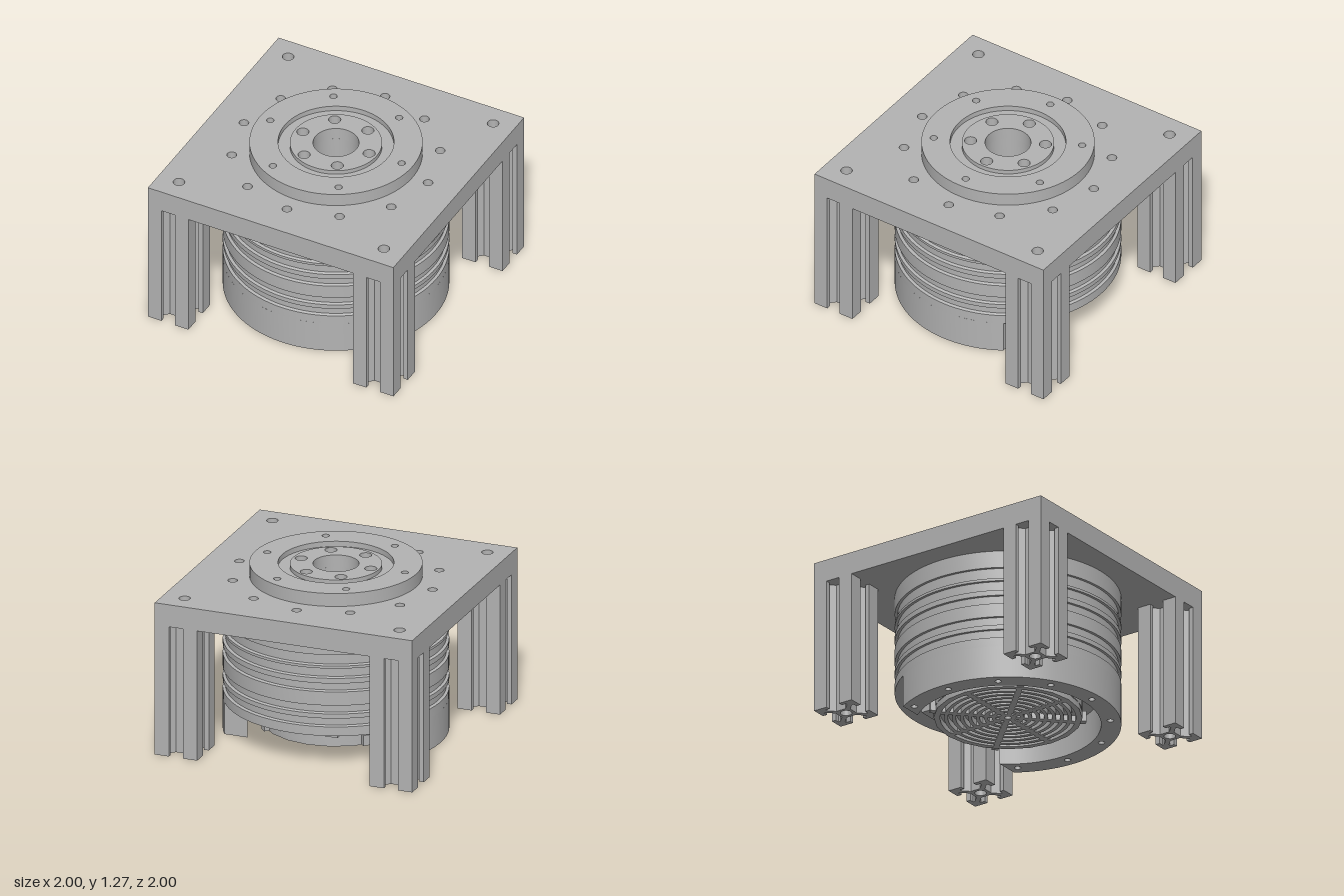
import * as THREE from 'three';
import { toCreasedNormals } from 'three/addons/utils/BufferGeometryUtils.js';

const metal = new THREE.MeshStandardMaterial({ name: 'machined grey', color: 0xb3b3b3 });

function addMesh(parent, name, geometry) {
  const mesh = new THREE.Mesh(toCreasedNormals(geometry, 0.5), metal);
  mesh.name = name;
  parent.add(mesh);
  return mesh;
}

// Extrudes a plan shape (shape y = -z) upwards between two heights
function slab(shape, y0, y1, curveSegments = 32) {
  const g = new THREE.ExtrudeGeometry(shape, { depth: y1 - y0, bevelEnabled: false, curveSegments });
  return g.rotateX(-Math.PI / 2).translate(0, y0, 0);
}

function disc(r) {
  return new THREE.Shape().absarc(0, 0, r, 0, Math.PI * 2, false);
}

function hole(shape, x, y, r) {
  shape.holes.push(new THREE.Path().absarc(x, y, r, 0, Math.PI * 2, true));
}

// Evenly spaced holes on a bolt circle, limited to those below maxY
function boltHoles(shape, count, radius, r, maxY = Infinity) {
  for (let i = 0; i < count; i++) {
    const a = (i / count) * Math.PI * 2;
    const x = radius * Math.cos(a), y = radius * Math.sin(a);
    if (y < maxY) hole(shape, x, y, r);
  }
}

// Slotted aluminium profile, one side repeated four times
function legShape() {
  const side = [
    [0.165, -0.165], [0.165, -0.055], [0.13, -0.055], [0.13, -0.09], [0.115, -0.09], [0.065, -0.04],
    [0.065, 0.04], [0.115, 0.09], [0.13, 0.09], [0.13, 0.055], [0.165, 0.055],
  ];
  const points = [];
  for (let k = 0; k < 4; k++) {
    for (const [x, y] of side) {
      points.push(new THREE.Vector2(x, y).rotateAround(new THREE.Vector2(), (k * Math.PI) / 2));
    }
  }
  const shape = new THREE.Shape(points);
  hole(shape, 0, 0, 0.042);
  return shape;
}

export function createModel() {
  const model = new THREE.Group();
  model.name = 'rotaryTable';

  // Square top plate
  const plate = new THREE.Shape([[-1, -1], [1, -1], [1, 1], [-1, 1]].map(p => new THREE.Vector2(...p)));
  for (const x of [-0.835, 0.835]) for (const y of [-0.835, 0.835]) hole(plate, x, y, 0.042);
  boltHoles(plate, 12, 0.75, 0.035);
  hole(plate, 0, 0, 0.165);
  addMesh(model, 'topPlate', slab(plate, 1, 1.17));

  // Output flange: outer collar, groove floor and inner hub
  const collar = disc(0.623);
  hole(collar, 0, 0, 0.417);
  boltHoles(collar, 6, 0.535, 0.027);
  addMesh(model, 'collar', slab(collar, 1.17, 1.27, 48));
  const groove = disc(0.417);
  hole(groove, 0, 0, 0.33);
  addMesh(model, 'grooveFloor', slab(groove, 1.17, 1.23, 48));
  const hub = disc(0.332);
  hole(hub, 0, 0, 0.165);
  boltHoles(hub, 6, 0.27, 0.044);
  addMesh(model, 'hub', slab(hub, 1.17, 1.262, 48));

  // Round housing with five grooves and a stepped blind bore
  const R = 0.815;
  const profile = [[0, 0.245], [R, 0.245]];
  for (const [low, high] of [[0.315, 0.38], [0.415, 0.48], [0.585, 0.65], [0.69, 0.765], [0.785, 0.87]]) {
    profile.push([R, low], [R - 0.02, low + 0.008], [R - 0.02, high], [R, high]);
  }
  profile.push([R, 1], [0.165, 1], [0.165, 0.95], [0.12, 0.95], [0.12, 0.6], [0, 0.6]);
  addMesh(model, 'housing', new THREE.LatheGeometry(profile.map(p => new THREE.Vector2(...p)), 96));

  // Bottom rim, cut straight across at the back
  const cut = 0.435, inner = 0.67;
  const a = Math.asin(cut / R), b = Math.asin(cut / inner);
  const rim = new THREE.Shape();
  rim.absarc(0, 0, R, Math.PI - a, Math.PI * 2 + a, false);
  rim.absarc(0, 0, inner, Math.PI * 2 + b, Math.PI - b, true);
  boltHoles(rim, 12, 0.74, 0.024, 0.4);
  addMesh(model, 'bottomRim', slab(rim, 0, 0.245, 64));

  // Fan with a slotted grille
  addMesh(model, 'fanBody', slab(disc(0.535), 0.1, 0.245, 48));
  const grille = disc(0.535);
  hole(grille, 0, 0, 0.025);
  const sectors = 8;
  for (let ring = 0; ring < 8; ring++) {
    const r0 = 0.06 + ring * 0.057, r1 = r0 + 0.03;
    const gap = Math.min(0.02 / r0, 0.25);
    for (let s = 0; s < sectors; s++) {
      const from = (s / sectors) * Math.PI * 2 + gap;
      const to = ((s + 1) / sectors) * Math.PI * 2 - gap;
      const slot = new THREE.Path();
      slot.absarc(0, 0, r0, from, to, false);
      slot.absarc(0, 0, r1, to, from, true);
      grille.holes.push(slot);
    }
  }
  addMesh(model, 'fanGrille', slab(grille, 0.055, 0.1, 10));

  // Connector block behind the fan
  addMesh(model, 'connector', new THREE.BoxGeometry(0.5, 0.085, 0.15).translate(0, 0.2025, -0.51));

  // Small clips holding the fan in the rim
  for (let i = 0; i < 4; i++) {
    const clip = addMesh(model, 'fanClip', new THREE.BoxGeometry(0.05, 0.08, 0.05).translate(0.545, 0.1, 0));
    clip.rotation.y = Math.PI / 4 + (i * Math.PI) / 2;
  }

  // Four legs
  for (const x of [-1, 1]) {
    for (const z of [-1, 1]) {
      const leg = addMesh(model, 'leg', slab(legShape(), 0, 1));
      leg.position.set(x * 0.835, 0, z * 0.835);
    }
  }
  return model;
}
